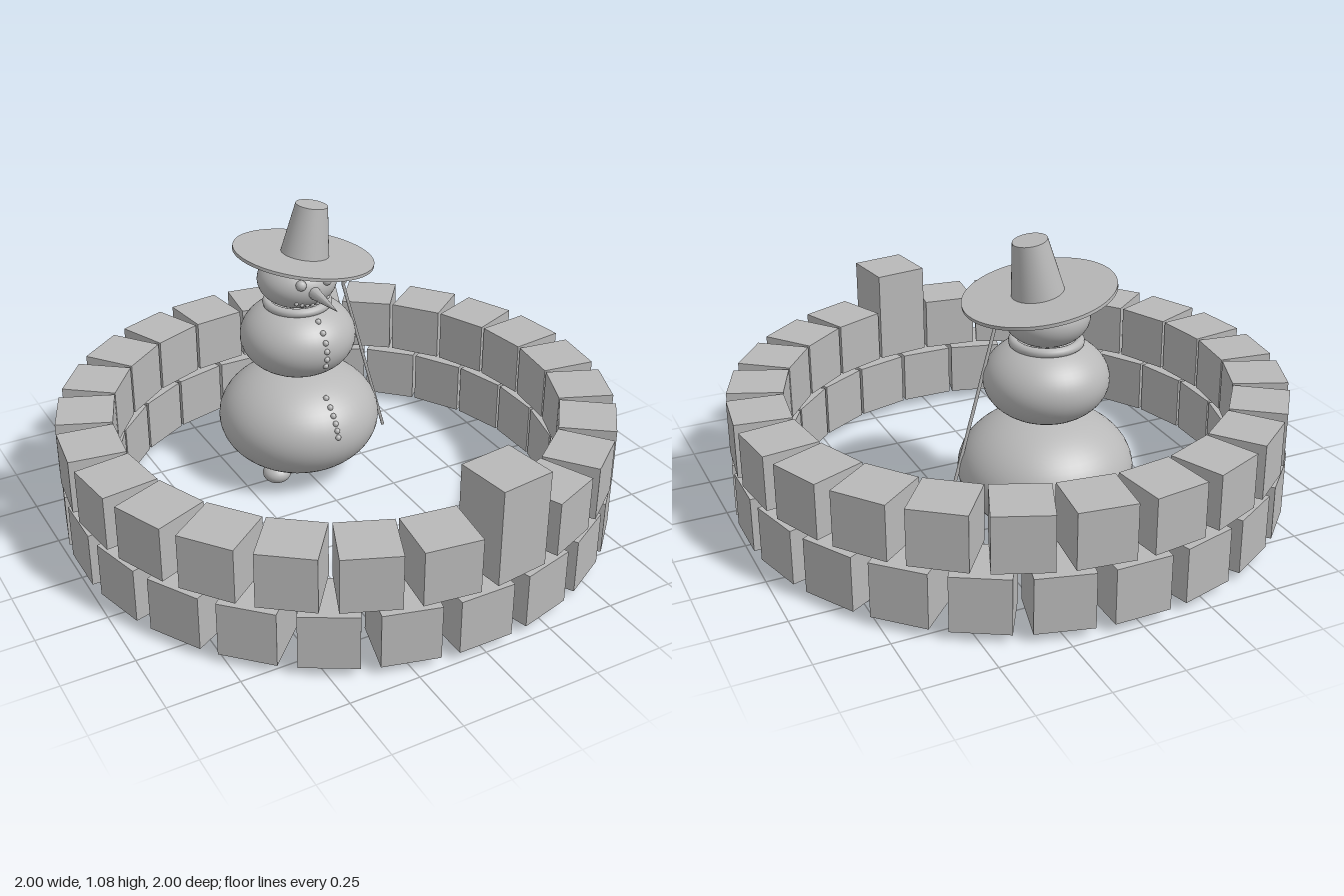
import * as THREE from 'three';

const stone = new THREE.MeshStandardMaterial({ color: 0xb8b8b8 });
stone.name = 'plain grey';

export function createModel() {
  const model = new THREE.Group();
  model.name = 'snowmanInFort';

  function add(parent, name, geometry, x = 0, y = 0, z = 0) {
    const mesh = new THREE.Mesh(geometry, stone);
    mesh.name = name;
    mesh.position.set(x, y, z);
    parent.add(mesh);
    return mesh;
  }

  // Thin rod between two points
  function rod(parent, name, a, b, r0, r1) {
    const from = new THREE.Vector3(...a), to = new THREE.Vector3(...b);
    const dir = to.clone().sub(from);
    const mesh = add(parent, name, new THREE.CylinderGeometry(r1, r0, dir.length(), 10));
    mesh.position.copy(from).add(to).multiplyScalar(0.5);
    mesh.quaternion.setFromUnitVectors(new THREE.Vector3(0, 1, 0), dir.normalize());
    return mesh;
  }

  // Two rings of blocks, the upper one shifted by half a block
  const count = 24, step = (Math.PI * 2) / count, size = 0.198;
  function blockRing(name, bottom, shift, tallIndex) {
    const ring = new THREE.Group();
    ring.name = name;
    for (let i = 0; i < count; i++) {
      const angle = (i + shift) * step;
      const height = i === tallIndex ? 0.348 : size;
      const block = add(ring, i === tallIndex ? 'tallBlock' : 'block',
        new THREE.BoxGeometry(size, height, 0.2),
        Math.sin(angle) * 0.895, bottom + height / 2, Math.cos(angle) * 0.895);
      block.rotation.y = angle;
    }
    model.add(ring);
  }
  blockRing('lowerWall', 0.033, 0, -1);
  blockRing('upperWall', 0.25, 0.5, 0);

  // Snowman, built around its own vertical axis
  const snowman = new THREE.Group();
  snowman.name = 'snowman';
  snowman.position.z = -0.3;
  model.add(snowman);

  const flat = 0.69;
  const balls = {
    lowerBody: { y: 0.238, r: 0.304 },
    upperBody: { y: 0.572, r: 0.216 },
    head: { y: 0.797, r: 0.147 },
  };
  for (const [name, { y, r }] of Object.entries(balls)) {
    add(snowman, name, new THREE.SphereGeometry(r, 48, 32), 0, y, 0).scale.y = flat;
  }

  // Surface depth of a ball at a given x and y
  function surfaceZ({ y, r }, px, py) {
    const dy = (py - y) / flat;
    return Math.sqrt(Math.max(0, r * r - dy * dy - px * px));
  }
  function bead(name, ball, x, y, r) {
    add(snowman, name, new THREE.SphereGeometry(r, 12, 8), x, y, surfaceZ(ball, x, y));
  }

  // Feet
  for (const [x, z] of [[-0.132, 0.068], [0.122, 0.015]]) {
    add(snowman, 'foot', new THREE.SphereGeometry(0.054, 24, 16), x, 0.039, z).scale.y = 0.72;
  }

  // Scarf
  add(snowman, 'scarf', new THREE.TorusGeometry(0.112, 0.017, 12, 48), 0, 0.706, 0).rotation.x = Math.PI / 2;

  // Buttons down both body balls
  for (let i = 0; i < 6; i++) {
    bead('button', balls.upperBody, 0.008, 0.68 - i * 0.031, 0.011);
    bead('button', balls.lowerBody, 0.008, 0.392 - i * 0.024, 0.011);
  }

  // Face: eyes, mouth beads and a carrot nose
  for (const x of [-0.05, 0.053]) bead('eye', balls.head, x, 0.828, 0.02);
  for (let i = -3; i <= 3; i++) {
    bead('mouthBead', balls.head, i * 0.021, 0.739 + i * i * 0.0016, 0.008);
  }
  rod(snowman, 'nose', [-0.003, 0.794, 0.125], [-0.003, 0.793, 0.312], 0.026, 0.001);

  // Walking stick with forked twigs at its top
  const fork = [0.155, 0.765, 0.068];
  rod(snowman, 'stick', [0.335, 0.12, 0.068], fork, 0.006, 0.006);
  for (const tip of [[0.172, 0.845, 0.072], [0.148, 0.815, 0.085], [0.18, 0.78, 0.06]]) {
    rod(snowman, 'twig', fork, tip, 0.006, 0.004);
  }

  // Tilted hat: brim and tapered crown
  const hat = new THREE.Group();
  hat.name = 'hat';
  hat.position.set(0.03, 0.882, -0.004);
  hat.rotation.z = -0.163;
  snowman.add(hat);
  add(hat, 'brim', new THREE.CylinderGeometry(0.26, 0.26, 0.012, 64));
  add(hat, 'crown', new THREE.CylinderGeometry(0.059, 0.09, 0.19, 40), 0.005, 0.095, 0);

  return model;
}
